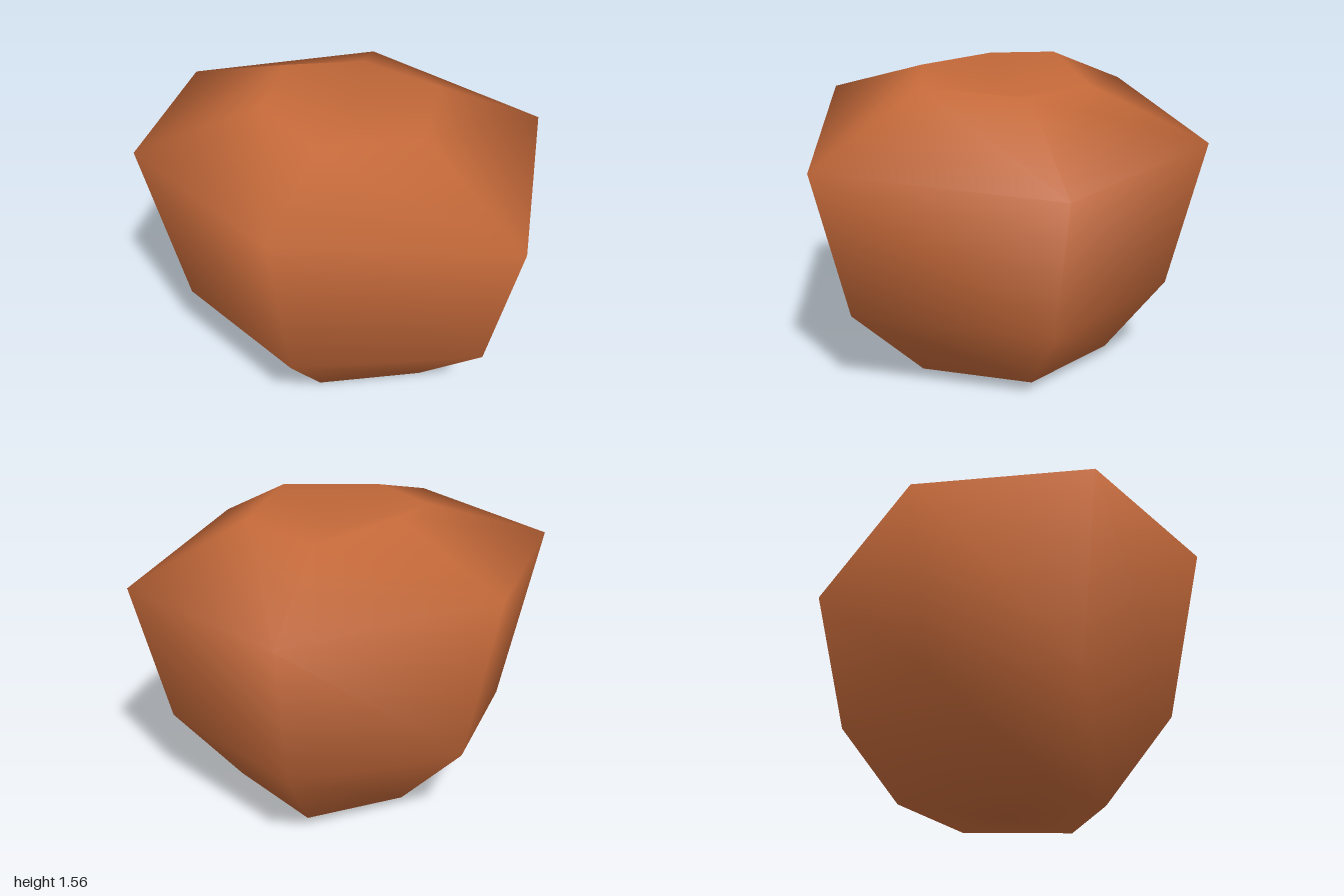
import * as THREE from 'three';

// Six meridian directions (x, z) at the widest ring, going from -x through +z to +x
const meridians = [[-0.98, -0.29], [-0.89, 0.56], [-0.04, 1.0], [0.98, 0.52], [0.8, -0.66], [-0.22, -1.0]];

// Rings from top to bottom: each corner has a scale on its meridian and a height
const rings = [
  { scale: [0.4, 0.42, 0.46, 0.44, 0.43, 0.43], y: [1.56, 1.53, 1.515, 1.515, 1.49, 1.47] },
  { scale: [1, 1, 1, 1, 1, 1], y: [1.32, 1.36, 1.35, 1.21, 1.18, 1.21] },
  { scale: [0.82, 0.82, 0.81, 0.835, 0.83, 0.83], y: [0.46, 0.46, 0.46, 0.46, 0.46, 0.46] },
  { scale: [0.46, 0.46, 0.47, 0.47, 0.5, 0.54], y: [0.05, 0.04, 0.03, 0.045, 0.06, 0.065] },
];

function rockGeometry() {
  const n = meridians.length;
  const positions = [0.01, 1.39, 0]; // sunken top centre
  for (const { scale, y } of rings) {
    meridians.forEach(([x, z], i) => positions.push(x * scale[i], y[i], z * scale[i]));
  }
  positions.push(0.02, 0, -0.02); // bottom centre
  const bottom = positions.length / 3 - 1;

  const index = [];
  const at = (ring, i) => 1 + ring * n + (i % n);
  for (let i = 0; i < n; i++) {
    index.push(0, at(0, i), at(0, i + 1)); // top fan
    for (let r = 0; r < rings.length - 1; r++) {
      const a = at(r, i + 1), b = at(r, i), c = at(r + 1, i), d = at(r + 1, i + 1);
      index.push(a, b, d, b, c, d);
    }
    index.push(at(rings.length - 1, i), bottom, at(rings.length - 1, i + 1)); // bottom fan
  }

  const geometry = new THREE.BufferGeometry();
  geometry.setAttribute('position', new THREE.Float32BufferAttribute(positions, 3));
  geometry.setIndex(index);
  geometry.computeVertexNormals(); // shared corners give smooth shading
  return geometry;
}

export function createModel() {
  const clay = new THREE.MeshStandardMaterial({ color: 0xc66a3a });
  clay.name = 'clayOrange';
  const rock = new THREE.Mesh(rockGeometry(), clay);
  rock.name = 'rock';
  const group = new THREE.Group();
  group.name = 'boulder';
  group.add(rock);
  return group;
}
